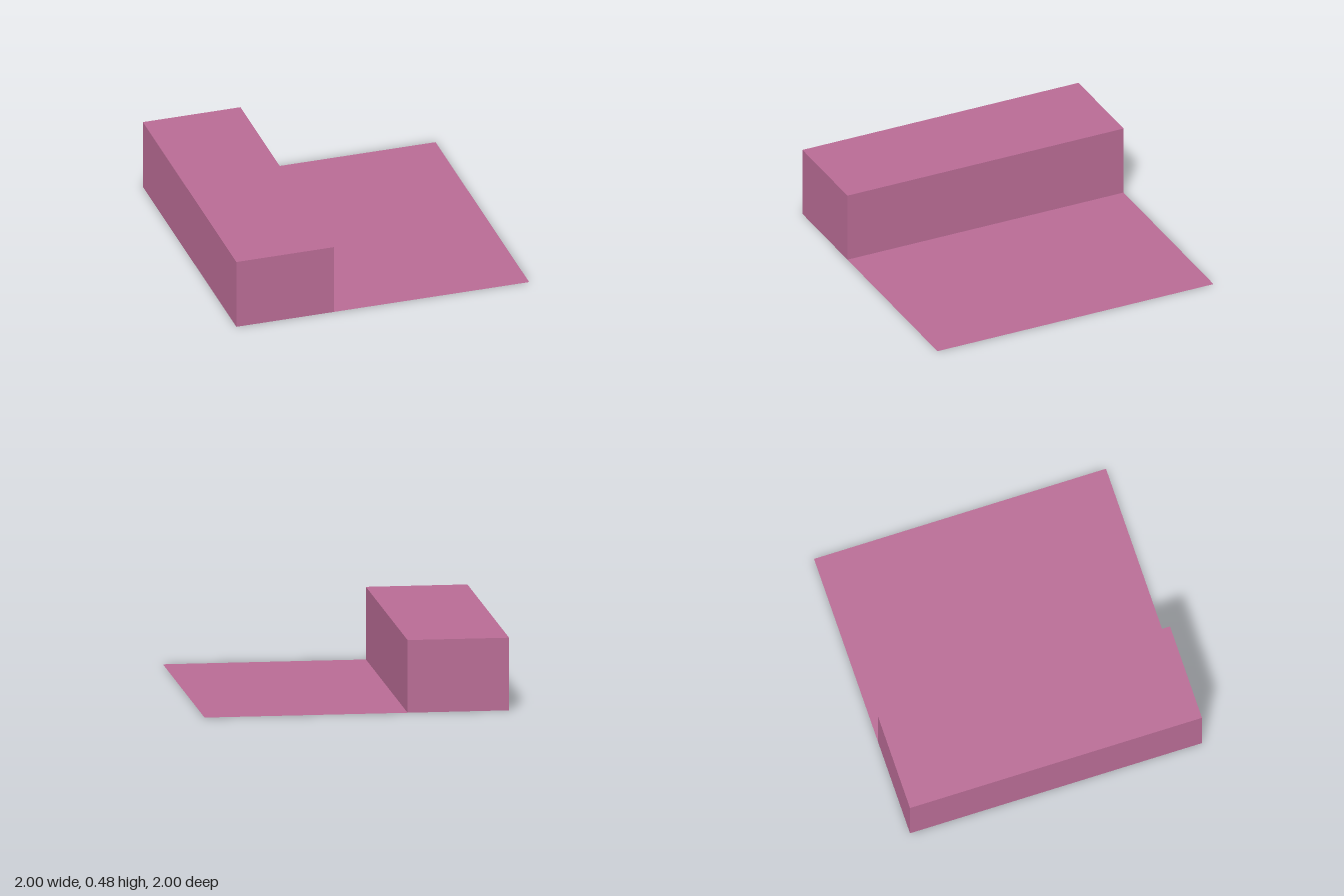
import * as THREE from 'three';

export function createModel() {
  const model = new THREE.Group();
  const material = new THREE.MeshStandardMaterial({ color: 0xb86b94, side: THREE.DoubleSide });
  const left = -1, step = -1 / 3, right = 1, height = 0.48, depth = 2;

  // Raised block: a hollow shell, open underneath
  const shell = new THREE.BoxGeometry(step - left, height, depth);
  const index = Array.from(shell.index.array);
  index.splice(18, 6); // drop the bottom face
  shell.setIndex(index);
  shell.clearGroups();
  const block = new THREE.Mesh(shell, material);
  block.name = 'raisedBlock';
  block.position.set((left + step) / 2, height / 2, 0);
  model.add(block);

  // Flat floor beside the block
  const floor = new THREE.Mesh(new THREE.PlaneGeometry(right - step, depth).rotateX(-Math.PI / 2), material);
  floor.name = 'floor';
  floor.position.x = (step + right) / 2;
  model.add(floor);

  return model;
}
